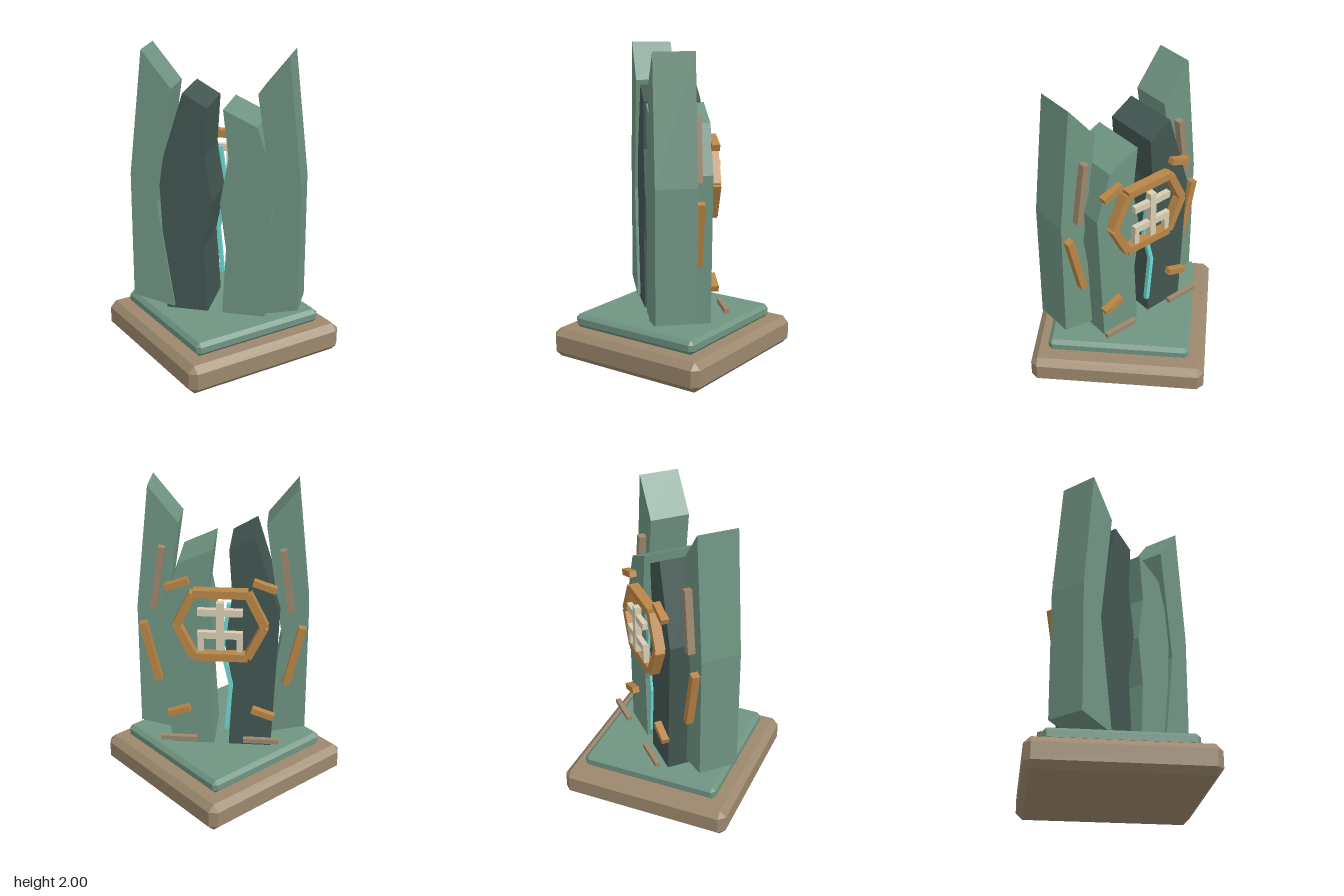
import * as THREE from 'three';
import { ConvexGeometry } from 'three/addons/geometries/ConvexGeometry.js';

const mat = (name, color) => {
  const m = new THREE.MeshStandardMaterial({ color });
  m.name = name;
  return m;
};

export function createModel() {
  const green = mat('green stone', 0x6f9482);
  const dark = mat('dark green stone', 0x425651);
  const tan = mat('tan stone', 0x9c886d);
  const gold = mat('gold', 0xb98546);
  const cream = mat('cream', 0xd9cdb3);
  const cyan = mat('glowing cyan', 0x6fd8d2);

  const model = new THREE.Group();
  model.name = 'splitMonument';
  const add = (parent, name, geo, material) => {
    const mesh = new THREE.Mesh(geo, material);
    mesh.name = name;
    parent.add(mesh);
    return mesh;
  };

  // Box with every edge chamfered, standing on y0
  const chamferBox = (w, h, c, y0) => {
    const pts = [];
    const a = w / 2, b = h / 2;
    for (const sx of [-1, 1]) for (const sy of [-1, 1]) for (const sz of [-1, 1]) {
      for (const [x, y, z] of [[a, b - c, a - c], [a - c, b, a - c], [a - c, b - c, a]]) {
        pts.push(new THREE.Vector3(sx * x, sy * y + y0 + b, sz * z));
      }
    }
    return new ConvexGeometry(pts);
  };
  add(model, 'base', chamferBox(1.14, 0.19, 0.042, 0), tan);
  add(model, 'plinth', chamferBox(0.925, 0.09, 0.025, 0.19), green);

  // Monument turned so that its decorated face looks along +x, -z
  const gate = new THREE.Group();
  gate.name = 'monument';
  gate.rotation.y = Math.PI * 0.75;
  model.add(gate);

  // Upright slab cut from an outline, between two depths
  const slab = (name, outline, z0, z1, material) => {
    const shape = new THREE.Shape(outline.map(([x, y]) => new THREE.Vector2(x, y)));
    const geo = new THREE.ExtrudeGeometry(shape, { depth: z1 - z0, bevelEnabled: false });
    geo.translate(0, 0, z0);
    return add(gate, name, geo, material);
  };

  // Straight bar between two points on the face
  const bar = (parent, name, [x0, y0], [x1, y1], thick, z0, z1, material) => {
    const len = Math.hypot(x1 - x0, y1 - y0);
    const mesh = add(parent, name, new THREE.BoxGeometry(len, thick, z1 - z0), material);
    mesh.position.set((x0 + x1) / 2, (y0 + y1) / 2, (z0 + z1) / 2);
    mesh.rotation.z = Math.atan2(y1 - y0, x1 - x0);
    return mesh;
  };

  // Two inner halves with a jagged crack between them
  slab('darkHalf', [[0.325, 0.28], [0.365, 1.22], [0.205, 1.74], [0.05, 1.65],
    [0.07, 1.34], [0.02, 1.04], [0.075, 0.73], [0.05, 0.28]], -0.184, 0.184, dark);
  slab('lightHalf', [[-0.325, 0.28], [-0.368, 1.24], [-0.265, 1.55], [-0.05, 1.65],
    [-0.085, 1.34], [-0.03, 1.04], [-0.07, 0.73], [-0.045, 0.28]], -0.184, 0.184, green);

  // Glowing vein along the crack
  const vein = [[0.05, 1.3], [0.008, 0.98], [0.065, 0.73], [0.035, 0.4]];
  for (let i = 0; i < 3; i++) bar(gate, 'crackVein', vein[i], vein[i + 1], 0.026, 0.17, 0.2, cyan);

  // Mirrored pillars with their inlaid bars
  for (const s of [-1, 1]) {
    slab('pillar', [[0.544, 0.36], [0.544, 1.2], [0.456, 2], [0.27, 1.765],
      [0.378, 1.02], [0.27, 0.3]].map(([x, y]) => [s * x, y]), -0.203, 0.055, green);
    bar(gate, 'upperPillarBar', [s * 0.434, 1.21], [s * 0.375, 1.62], 0.042, 0.05, 0.103, tan);
    bar(gate, 'lowerPillarBar', [s * 0.415, 0.69], [s * 0.508, 1.1], 0.048, 0.05, 0.105, gold);
    for (const y of [0.535, 1.43]) {
      bar(gate, 'slantedBar', [s * 0.34, y - 0.025], [s * 0.2, y + 0.025], 0.04, 0.18, 0.23, gold);
    }
    bar(gate, 'footBar', [s * 0.15, 0.372], [s * 0.38, 0.372], 0.03, 0.26, 0.292, tan);
  }

  // Six-sided frame
  const frame = new THREE.Group();
  frame.name = 'hexagonFrame';
  gate.add(frame);
  const hex = [[-0.275, 0], [-0.17, 0.215], [0.17, 0.215], [0.275, 0], [0.17, -0.215], [-0.17, -0.215]]
    .map(([x, y]) => [x, y + 1.165]);
  hex.forEach((p, i) => bar(frame, 'frameBeam', p, hex[(i + 1) % 6], 0.05, 0.185, 0.25, gold));

  // Cream emblem of crossed bars
  const emblem = new THREE.Group();
  emblem.name = 'emblem';
  gate.add(emblem);
  bar(emblem, 'emblemPost', [0, 1.02], [0, 1.34], 0.045, 0.235, 0.28, cream);
  for (const y of [1.117, 1.27]) bar(emblem, 'emblemCrossbar', [-0.14, y], [0.14, y], 0.045, 0.24, 0.275, cream);
  for (const x of [-0.122, 0.122]) bar(emblem, 'emblemLeg', [x, 1.005], [x, 1.13], 0.036, 0.235, 0.27, cream);

  return model;
}
